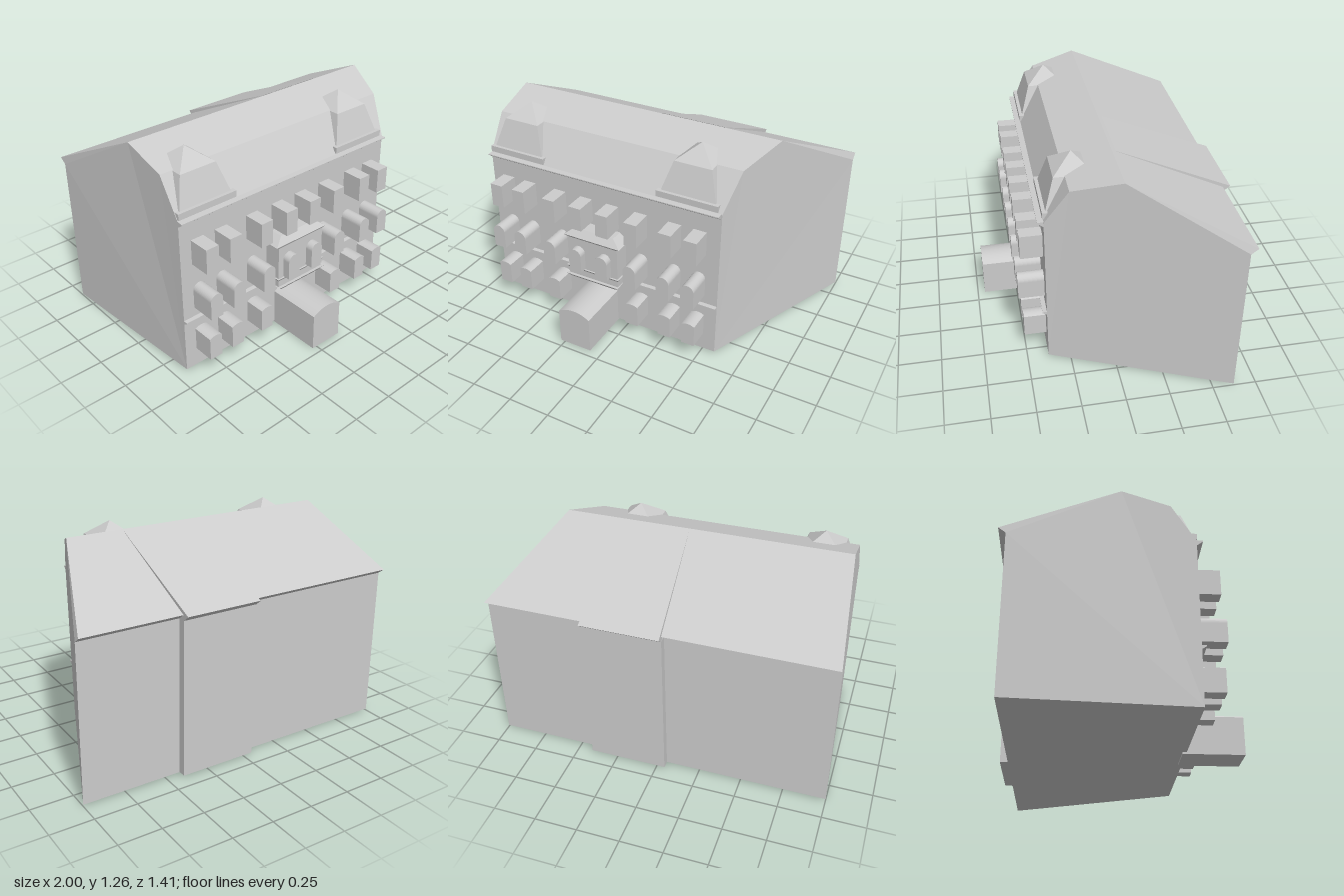
import * as THREE from 'three';

// Solid across x from a cross-section of [z, y, leftX, rightX], anticlockwise seen from +x
function crossSolid(pts) {
  const pos = [];
  const R = (p) => [p[3], p[1], p[0]];
  const L = (p) => [p[2], p[1], p[0]];
  pts.forEach((a, i) => {
    const b = pts[(i + 1) % pts.length];
    pos.push(...R(a), ...L(a), ...L(b), ...R(a), ...L(b), ...R(b));
  });
  const contour = pts.map((p) => new THREE.Vector2(-p[0], p[1]));
  for (const [a, b, c] of THREE.ShapeUtils.triangulateShape(contour, [])) {
    pos.push(...R(pts[a]), ...R(pts[b]), ...R(pts[c]));
    pos.push(...L(pts[a]), ...L(pts[c]), ...L(pts[b]));
  }
  const g = new THREE.BufferGeometry();
  g.setAttribute('position', new THREE.Float32BufferAttribute(pos, 3));
  g.computeVertexNormals();
  return g;
}

// Rectangular frustum: x/z ranges at the bottom and at the top
function frustum(y0, y1, [ax, bx, az, bz], [cx, dx, cz, dz]) {
  const g = new THREE.BoxGeometry(1, 1, 1).toNonIndexed();
  const p = g.attributes.position;
  for (let i = 0; i < p.count; i++) {
    const top = p.getY(i) > 0, right = p.getX(i) > 0, front = p.getZ(i) > 0;
    p.setXYZ(i,
      top ? (right ? dx : cx) : (right ? bx : ax),
      top ? y1 : y0,
      top ? (front ? dz : cz) : (front ? bz : az));
  }
  g.computeVertexNormals();
  return g;
}

// Block standing out from the facade, with an optional arched head of the given rise
function archBlock(x, w, y0, y1, rise, z0, z1) {
  const h = w / 2, s = new THREE.Shape();
  s.moveTo(x - h, y0);
  s.lineTo(x + h, y0);
  s.lineTo(x + h, y1 - rise);
  if (rise > 0) {
    const r = (h * h + rise * rise) / (2 * rise);
    const a = Math.asin(Math.min(1, h / r));
    s.absarc(x, y1 - r, r, Math.PI / 2 - a, Math.PI / 2 + a, false);
  } else s.lineTo(x - h, y1);
  s.closePath();
  return new THREE.ExtrudeGeometry(s, { depth: z1 - z0, bevelEnabled: false, curveSegments: 10 })
    .translate(0, 0, z0);
}

export function createModel() {
  const model = new THREE.Group();
  model.name = 'townhouse';
  const stone = new THREE.MeshStandardMaterial({ color: 0xcccccc });
  stone.name = 'pale grey';
  const add = (name, geometry, parent = model) => {
    const m = new THREE.Mesh(geometry, stone);
    m.name = name;
    parent.add(m);
    return m;
  };

  // Wedge-plan body with the mansard front and long rear slope
  add('body', crossSolid([
    [0.377, 0.01, -0.93, 0.58],
    [-0.62, 0.01, -1, 1],
    [-0.62, 0.925, -1, 1],
    [-0.66, 0.955, -1, 1],
    [-0.02, 1.26, -0.935, 0.75],
    [0.245, 1.175, -0.93, 0.643],
    [0.377, 0.96, -0.93, 0.59],
  ]));

  // Rear projection with its own slightly flatter roof
  add('rearProjection', crossSolid([
    [-0.5, 0.01, -0.05, 0.41],
    [-0.665, 0.01, -0.05, 0.41],
    [-0.665, 0.925, -0.05, 0.41],
    [-0.703, 0.957, -0.05, 0.41],
    [-0.04, 1.252, 0, 0.41],
    [-0.5, 0.95, -0.05, 0.41],
  ]));

  // Cornice under the roof and string course above the ground floor
  const ledge = (name, y0, y1, z) => add(name, crossSolid([
    [0.37, y0, -0.93, 0.583],
    [0.37, y1, -0.93, 0.583],
    [z, y1 - 0.002, -0.93, 0.583],
    [z, y1 - 0.008, -0.93, 0.583],
  ]));
  ledge('cornice', 0.925, 0.963, 0.41);
  ledge('stringCourse', 0.318, 0.345, 0.402);

  // Windows
  const columns = [-0.818, -0.663, -0.449, -0.267, -0.091, 0.096, 0.31, 0.465];
  columns.forEach((x, i) => {
    add('upperWindow', archBlock(x, 0.08, 0.678, 0.825, 0, 0.36, 0.505));
    add('middleWindow', archBlock(x, 0.08, 0.4, 0.55, 0.0399, 0.36, 0.527));
    if (i !== 3 && i !== 4)
      add('lowerWindow', archBlock(x, 0.08, 0.12, 0.267, 0.012, 0.36, 0.505));
  });

  // Entrance porch
  add('entrance', archBlock(-0.176, 0.205, 0, 0.255, 0.032, 0.354, 0.705));

  // Bay above the entrance: base, sill, wall and hipped roof
  const bay = new THREE.Group();
  bay.name = 'bay';
  model.add(bay);
  const z = 0.36;
  add('bayBase', frustum(0.315, 0.34, [-0.325, -0.025, z, 0.478], [-0.35, 0, z, 0.498]), bay);
  add('bayWall', frustum(0.34, 0.605, [-0.343, -0.007, z, 0.48], [-0.343, -0.007, z, 0.48]), bay);
  add('baySill', frustum(0.38, 0.395, [-0.343, -0.007, z, 0.48], [-0.353, 0.003, z, 0.49]), bay);
  add('bayEave', frustum(0.598, 0.61, [-0.343, -0.007, z, 0.48], [-0.362, 0.012, z, 0.487]), bay);
  add('bayRoof', frustum(0.61, 0.655, [-0.362, 0.012, z, 0.487], [-0.305, -0.045, z, 0.455]), bay);

  // Roof dormers: plinth, tapering shaft and pyramid cap
  for (const x of [-0.74, 0.378]) {
    const dormer = new THREE.Group();
    dormer.name = 'dormer';
    dormer.position.set(x, 0, 0.195);
    model.add(dormer);
    const sq = (h) => [-h, h, -h, h];
    const base = [-0.187, 0.187, -0.1, 0.185];
    add('dormerPlinth', frustum(0.968, 1.005, base, base), dormer);
    add('dormerShaft', frustum(1.005, 1.172, sq(0.165), sq(0.113)), dormer);
    add('dormerCap', frustum(1.172, 1.26, sq(0.113), sq(0.001)), dormer);
  }
  return model;
}
